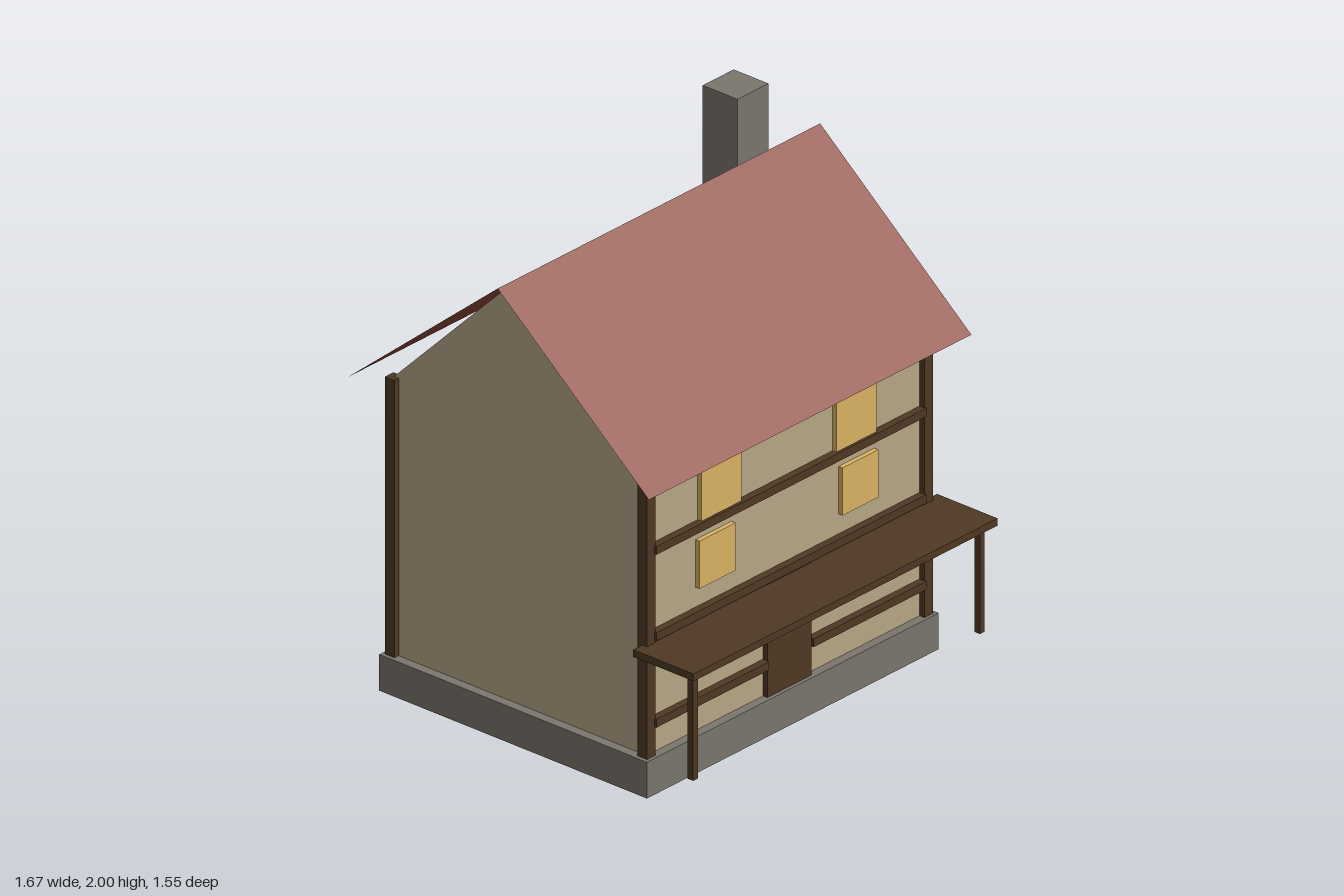
import * as THREE from 'three';

export function createModel() {
  const house = new THREE.Group();
  house.name = 'house';

  const paint = (name, color, side = THREE.FrontSide) => {
    const m = new THREE.MeshStandardMaterial({ color, side });
    m.name = name;
    return m;
  };
  const plaster = paint('plaster', 0xb8a888, THREE.DoubleSide);
  const tile = paint('roof tile', 0x8a4535, THREE.DoubleSide);
  const wood = paint('dark wood', 0x503824);
  const stone = paint('stone', 0x7b776e);
  const glow = paint('window yellow', 0xdab463);

  const add = (name, geometry, material) => {
    const mesh = new THREE.Mesh(geometry, material);
    mesh.name = name;
    house.add(mesh);
    return mesh;
  };
  // Box given by its lower and upper limits on each axis
  const box = (name, material, [x0, x1], [y0, y1], [z0, z1]) =>
    add(name, new THREE.BoxGeometry(x1 - x0, y1 - y0, z1 - z0), material)
      .position.set((x0 + x1) / 2, (y0 + y1) / 2, (z0 + z1) / 2);

  const MID = -0.08;            // z of the ridge
  const HX = 0.718, HZ = 0.58;  // half size of the walls
  const FLOOR = 0.14, EAVE = 1.21, RIDGE = 1.79;
  const FRONT = MID + HZ;

  // Stone base and walls
  box('foundation', stone, [-0.755, 0.755], [0, FLOOR], [MID - 0.615, MID + 0.615]);
  box('walls', plaster, [-HX, HX], [FLOOR, EAVE], [MID - HZ, FRONT]);

  // Gable triangles
  const triangle = new THREE.Shape([
    new THREE.Vector2(-HZ, 0), new THREE.Vector2(HZ, 0), new THREE.Vector2(0, RIDGE - EAVE),
  ]);
  for (const s of [-1, 1]) {
    const gable = add('gable', new THREE.ShapeGeometry(triangle), plaster);
    gable.rotation.y = s * Math.PI / 2;
    gable.position.set(s * HX, EAVE, MID);
  }

  // Two thin roof slopes
  const run = 0.695, rise = RIDGE - EAVE;
  for (const s of [-1, 1]) {
    const slope = add('roofSlope', new THREE.PlaneGeometry(1.67, Math.hypot(run, rise)), tile);
    slope.rotation.order = 'YXZ';
    slope.rotation.set(-Math.atan2(run, rise), s > 0 ? 0 : Math.PI, 0);
    slope.position.set(0, (EAVE + RIDGE) / 2, MID + s * run / 2);
  }

  box('chimney', stone, [0.475, 0.635], [1.45, 2], [-0.3, -0.14]);

  // Corner posts
  for (const sx of [-1, 1]) for (const sz of [-1, 1]) {
    const x = sx * HX, z = MID + sz * HZ, h = 0.022;
    box('cornerPost', wood, [x - h, x + h], [FLOOR, EAVE], [z - h, z + h]);
  }

  // Front beams, the lowest broken by the door
  const beamZ = [FRONT - 0.01, FRONT + 0.029];
  for (const y of [0.6, 0.933]) box('beam', wood, [-0.7, 0.7], [y - 0.016, y + 0.016], beamZ);
  box('lowBeamRight', wood, [-0.7, -0.115], [0.25, 0.282], beamZ);
  box('lowBeamLeft', wood, [0.115, 0.7], [0.25, 0.282], beamZ);
  box('door', wood, [-0.115, 0.115], [FLOOR, 0.58], [FRONT - 0.01, FRONT + 0.02]);

  // Windows and porch posts, mirrored
  for (const s of [-1, 1]) {
    const span = (a, b) => (s > 0 ? [a, b] : [-b, -a]);
    const glassZ = [FRONT - 0.01, FRONT + 0.018];
    box('upperWindow', glow, span(0.245, 0.453), [0.949, 1.157], glassZ);
    box('lowerWindow', glow, span(0.277, 0.463), [0.692, 0.876], glassZ);
    box('porchPost', wood, span(0.73, 0.755), [FLOOR, 0.55], [0.722, 0.747]);
  }
  box('porchRoof', wood, [-0.787, 0.787], [0.547, 0.575], [FRONT, 0.778]);

  return house;
}
